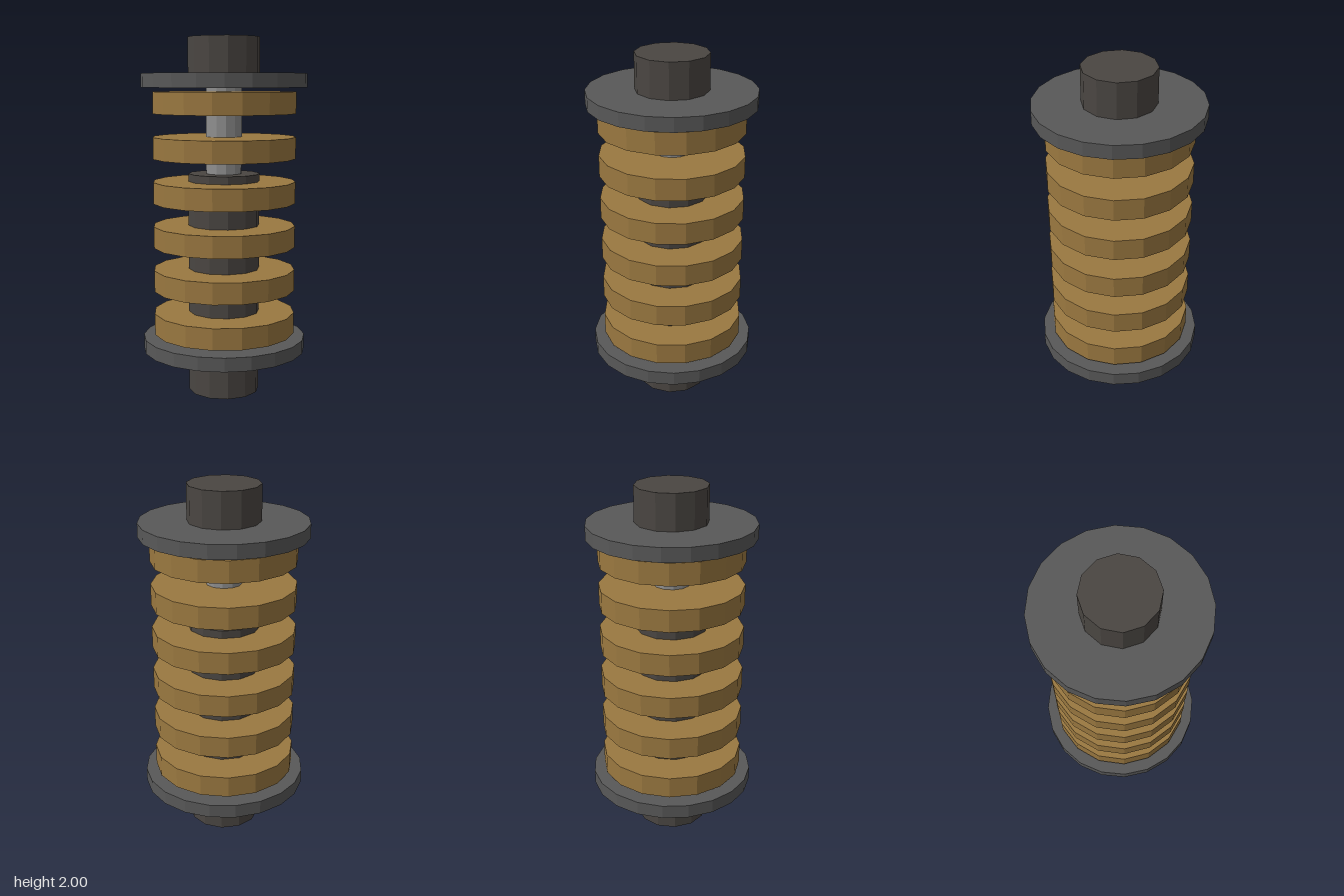
import * as THREE from 'three';

const material = (color) => new THREE.MeshStandardMaterial({ color, flatShading: true });

export function createModel() {
  const group = new THREE.Group();
  const dark = material(0x4a4642);
  const plate = material(0x585858);
  const brass = material(0x9a7840);
  const steel = material(0x909090);

  // Upright cylinder between two heights
  const cylinder = (name, radius, bottom, top, sides, mat) => {
    const mesh = new THREE.Mesh(
      new THREE.CylinderGeometry(radius, radius, top - bottom, sides), mat);
    mesh.name = name;
    mesh.position.y = (bottom + top) / 2;
    group.add(mesh);
  };

  // Damper body, sliding rod and upper mount
  cylinder('damperBody', 0.2, 0, 1.25, 12, dark);
  cylinder('pistonRod', 0.1, 1.2, 1.9, 12, steel);
  cylinder('upperMount', 0.2, 1.75, 2, 12, dark);

  // Plates that hold the spring at both ends
  cylinder('lowerSpringPlate', 0.46, 0.245, 0.322, 20, plate);
  cylinder('upperSpringPlate', 0.46, 1.725, 1.802, 20, plate);

  // Spring coils, stacked as evenly spaced discs
  for (let i = 0; i < 6; i++) {
    const y = 0.403 + i * 0.248;
    cylinder(`springCoil${i + 1}`, 0.4, y - 0.06, y + 0.06, 16, brass);
  }
  return group;
}
